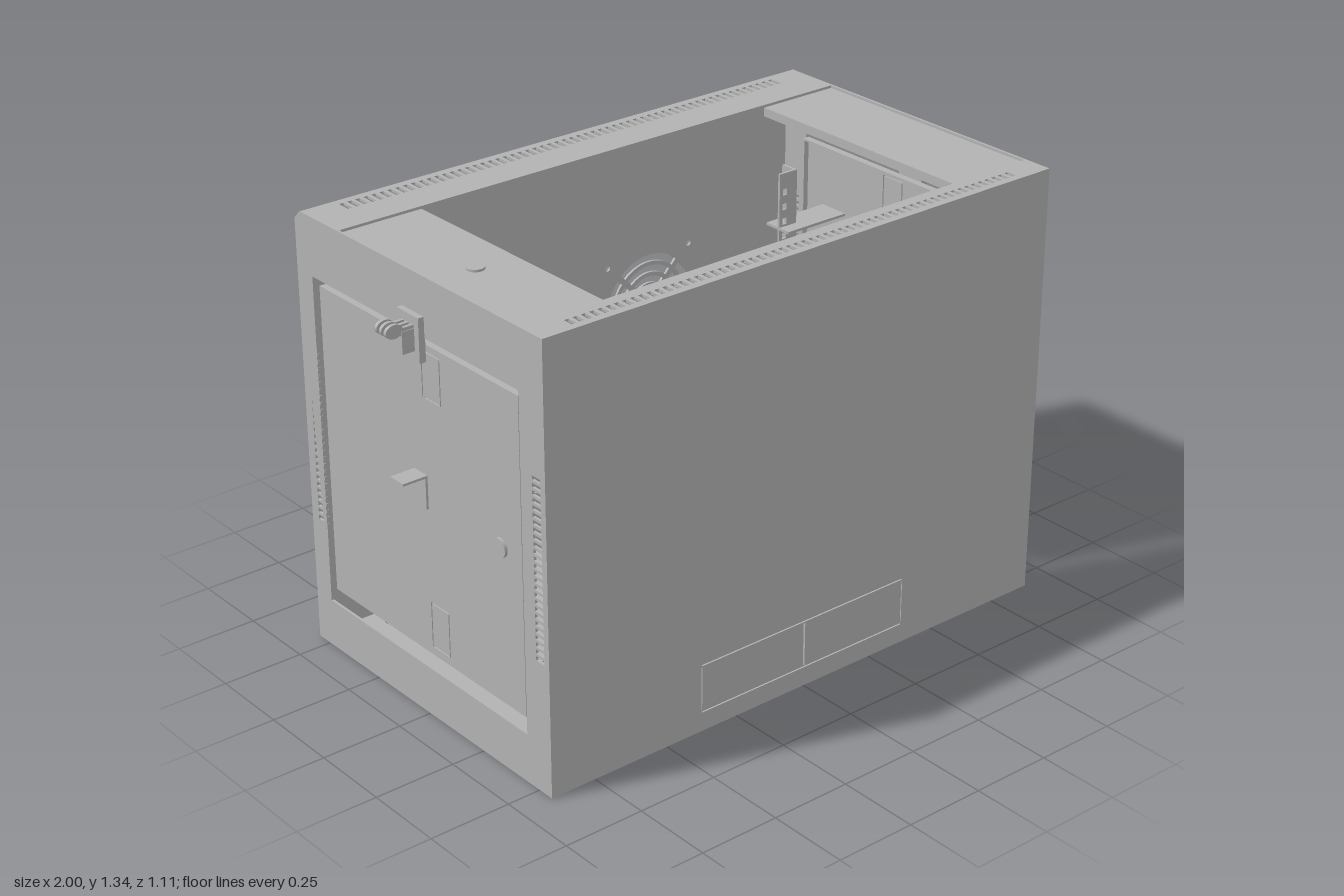
import * as THREE from 'three';

const T = 0.008, W = 0.895, D = 0.553, H = 1.34;
const grey = new THREE.MeshStandardMaterial({ color: 0xb2b2b2 });
grey.name = 'cabinet grey';

// closed outline from corner points
function outline(points, Type = THREE.Shape) {
  return new Type(points.map(p => new THREE.Vector2(p[0], p[1])));
}
const rect = (a, b, c, d, Type) => outline([[a, c], [b, c], [b, d], [a, d]], Type);
const slot = (a, b, c, d) => rect(a, b, c, d, THREE.Path);
function round(x, y, r) {
  const p = new THREE.Path();
  p.absarc(x, y, r, 0, Math.PI * 2);
  return p;
}

function add(parent, name, geometry, x = 0, y = 0, z = 0) {
  const m = new THREE.Mesh(geometry, grey);
  m.name = name;
  m.position.set(x, y, z);
  parent.add(m);
  return m;
}
function box(parent, name, x0, x1, y0, y1, z0, z1) {
  return add(parent, name, new THREE.BoxGeometry(x1 - x0, y1 - y0, z1 - z0),
    (x0 + x1) / 2, (y0 + y1) / 2, (z0 + z1) / 2);
}
// sheet metal plate with cut-outs
function sheet(shape, holes, depth = T) {
  shape.holes.push(...holes);
  return new THREE.ExtrudeGeometry(shape, { depth, bevelEnabled: false, curveSegments: 16 });
}
const flat = g => g.rotateX(Math.PI / 2);      // shape (x, z), depth goes down
const upright = g => g.rotateY(-Math.PI / 2);  // shape (z, y), depth goes to -x

// knockout cuts for the cable entry, front and back
function cableCuts() {
  return [
    slot(-0.375, 0.375, 0.207, 0.211), slot(-0.375, 0.375, 0.059, 0.063),
    slot(-0.003, 0.003, 0.068, 0.202),
    slot(-0.377, -0.374, 0.068, 0.202), slot(0.374, 0.377, 0.068, 0.202),
  ];
}

// concentric arc cut-outs and screw holes of a fan opening
function fanCuts(cx, cy) {
  const cuts = [];
  for (const [r0, r1] of [[0.032, 0.053], [0.068, 0.089], [0.102, 0.124], [0.137, 0.16]]) {
    const gap = 0.009 / ((r0 + r1) / 2);
    for (let i = 0; i < 4; i++) {
      const a = Math.PI / 4 + i * Math.PI / 2 + gap, b = a + Math.PI / 2 - 2 * gap;
      const p = new THREE.Path();
      p.absarc(cx, cy, r1, a, b, false);
      p.absarc(cx, cy, r0, b, a, true);
      p.closePath();
      cuts.push(p);
    }
  }
  for (const sx of [-1, 1]) for (const sy of [-1, 1]) {
    cuts.push(round(cx + sx * 0.157, cy + sy * 0.157, 0.009));
  }
  return cuts;
}

function ventRow(z0, z1) {
  const n = 60, pitch = 1.58 / n, cuts = [];
  for (let i = 0; i < n; i++) {
    const x = -0.79 + i * pitch;
    cuts.push(slot(x + 0.006, x + pitch - 0.006, z0, z1));
  }
  return cuts;
}

// side frame with door opening and vent columns; s = +1 or -1
function sidePanel(s) {
  const shape = outline([[-D, 0], [D, 0], [D, H], [-D + 0.028, H], [-D, H - 0.025]]);
  const z = [0.48 * s, -0.45 * s].sort((a, b) => a - b);
  const cuts = [slot(z[0], z[1], 0.15, 1.163)];
  for (let i = 0; i < 26; i++) {
    const y = 0.4 + i * 0.0212;
    cuts.push(slot(0.498, 0.533, y, y + 0.013), slot(-0.52, -0.478, y, y + 0.013));
  }
  return upright(sheet(shape, cuts));
}

// removable door with latch, hook and lock, on the +x side
function makeDoor() {
  const door = new THREE.Group();
  door.name = 'sideDoor';
  const cuts = [];
  for (const [y0, y1] of [[0.985, 1.125], [0.225, 0.365]]) {
    cuts.push(outline([[-0.022, y0], [-0.022, y1], [-0.106, y1], [-0.106, y0], [-0.102, y0],
      [-0.102, y1 - 0.004], [-0.026, y1 - 0.004], [-0.026, y0]], THREE.Path));
    cuts.push(slot(-0.099, -0.029, y0, y0 + 0.004));
  }
  add(door, 'doorPanel', upright(sheet(rect(-0.445, 0.45, 0.2, 1.145), cuts, 0.006)), W - 0.002);

  // folded edges
  box(door, 'doorFold', 0.87, 0.888, 0.2, 0.206, -0.445, 0.45);
  box(door, 'doorFold', 0.87, 0.888, 1.139, 1.145, -0.445, 0.45);
  box(door, 'doorFold', 0.87, 0.888, 0.2, 1.145, -0.445, -0.439);
  box(door, 'doorFold', 0.87, 0.888, 0.2, 1.145, 0.444, 0.45);

  // latch
  box(door, 'latchPlate', 0.893, 0.913, 1.095, 1.225, -0.046, 0.05);
  box(door, 'latchBlock', 0.913, 0.952, 1.125, 1.19, -0.026, 0.03);
  for (const z of [-0.019, 0.002, 0.023]) {
    const finger = add(door, 'latchFinger', new THREE.CylinderGeometry(0.02, 0.02, 0.01, 20).rotateX(Math.PI / 2), 0.973, 1.196, z);
    finger.scale.x = 1.35;
    box(door, 'fingerStem', 0.913, 0.965, 1.18, 1.2, z - 0.005, z + 0.005);
  }

  // bent hook
  box(door, 'hookPlate', 0.89, 0.9, 0.655, 0.755, -0.03, 0.03);
  box(door, 'hookShelf', 0.9, 0.972, 0.748, 0.755, -0.03, 0.03);

  // round lock
  add(door, 'lock', new THREE.CylinderGeometry(0.028, 0.028, 0.014, 24).rotateZ(Math.PI / 2), W, 0.675, -0.355);
  return door;
}

export function createModel() {
  const g = new THREE.Group();
  g.name = 'wallCabinet';

  // front and back
  add(g, 'frontPanel', sheet(rect(-W, W, 0, H), cableCuts()), 0, 0, D - T);
  add(g, 'backPanel', sheet(rect(-W, W, 0, H - 0.025),
    [...cableCuts(), ...fanCuts(-0.338, 0.71), ...fanCuts(0.338, 0.71)]), 0, 0, -D);

  // sloped top edge at the back
  const slope = add(g, 'backChamfer', new THREE.BoxGeometry(2 * W, T, 0.0375), 0, H - 0.0154, -D + 0.0168);
  slope.rotation.x = -Math.atan2(0.025, 0.028);

  // sides and doors
  for (const s of [1, -1]) {
    add(g, 'sidePanel', sidePanel(s), s > 0 ? W : -W + T);
    const door = makeDoor();
    if (s < 0) door.rotation.y = Math.PI;
    g.add(door);
  }

  // top frame: vented strips and slightly lower side plates
  add(g, 'topBackStrip', flat(sheet(rect(-W, W, -D + 0.028, -0.345), ventRow(-0.5, -0.455))), 0, H);
  add(g, 'topFrontStrip', flat(sheet(rect(-W, W, 0.462, D), ventRow(0.498, 0.53))), 0, H);
  box(g, 'topBackLip', -0.62, 0.62, H - 0.03, H - T, -0.353, -0.345);
  for (const s of [1, -1]) {
    const x = s * 0.757;
    box(g, 'topSidePlate', x - 0.137, x + 0.137, H - 0.016, H - 0.008, -0.35, 0.465);
    box(g, 'topSideLip', s * 0.623 - 0.004, s * 0.623 + 0.004, H - 0.035, H - 0.01, -0.345, 0.462);
  }
  add(g, 'topCap', new THREE.CylinderGeometry(0.026, 0.026, 0.01, 24), -0.75, H - 0.006, 0.08);

  // floor with cut line and mounting holes
  const cuts = [slot(-0.57, 0.57, -0.012, -0.008), slot(0.566, 0.57, -0.003, 0.19), slot(-0.57, -0.566, -0.003, 0.19)];
  for (const s of [-1, 1]) {
    cuts.push(round(s * 0.55, 0.07, 0.009), round(s * 0.49, 0.46, 0.009));
    for (const x of [0.48, 0.7]) cuts.push(round(s * x, -0.48, 0.014), round(s * x, 0.515, 0.014));
  }
  add(g, 'floor', flat(sheet(rect(-W, W, -D, D), cuts)), 0, T);

  // mounting rails inside
  for (const sx of [-1, 1]) for (const sz of [-1, 1]) {
    const rail = new THREE.Group();
    rail.name = 'mountingRail';
    const holes = [];
    for (let i = 0; i < 18; i++) holes.push(slot(0.012, 0.028, 0.26 + i * 0.047, 0.28 + i * 0.047));
    add(rail, 'railFace', sheet(rect(0, 0.06, 0.22, 1.13), holes), -0.03, 0, 0);
    box(rail, 'railWeb', 0.03, 0.038, 0.22, 1.13, -0.05, 0.008);
    box(rail, 'railBracket', -0.03, 0.2, 0.95, 0.958, -0.05, 0.05);
    rail.position.set(sx * 0.67, 0, sz * 0.3);
    if (sx < 0) rail.rotation.y = Math.PI;
    g.add(rail);
  }
  return g;
}
